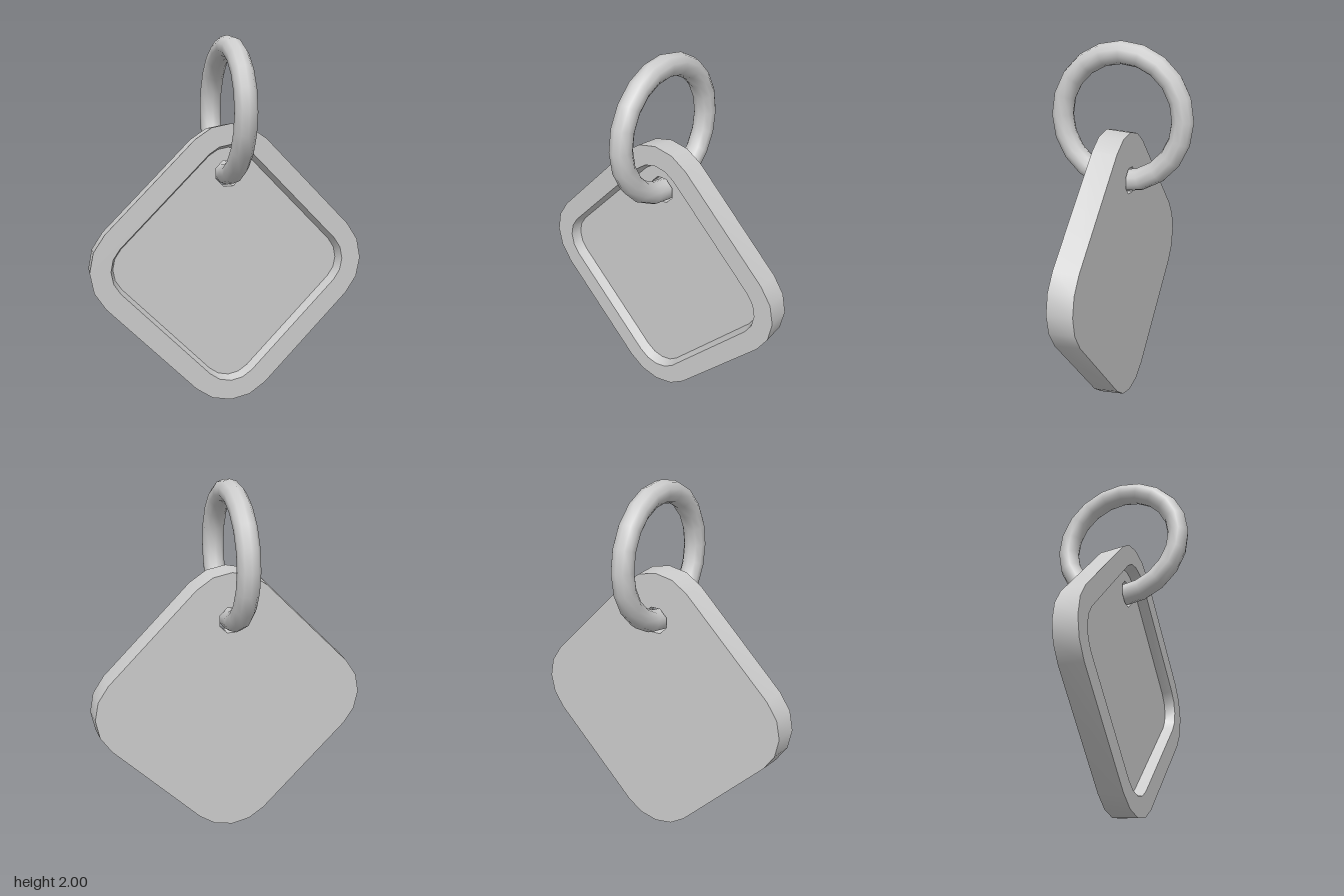
import * as THREE from 'three';
import { mergeGeometries, toCreasedNormals } from 'three/addons/utils/BufferGeometryUtils.js';

const CENTRE_Y = 0.768, CORNER = 0.485;
const BACK = -0.053, FLOOR = 0.027, FRONT = 0.083;

// Diamond outline with rounded corners of radius r, counter-clockwise
function diamond(r) {
  const points = [];
  for (let corner = 0; corner < 4; corner++) {
    const middle = corner * Math.PI / 2;
    for (let i = -2; i <= 2; i++) {
      const a = middle + i * Math.PI / 8;
      points.push(new THREE.Vector2(
        CORNER * Math.cos(middle) + r * Math.cos(a),
        CENTRE_Y + CORNER * Math.sin(middle) + r * Math.sin(a)));
    }
  }
  return points;
}

// Octagonal eyelet for the ring
function eyelet() {
  return Array.from({ length: 8 }, (_, i) => {
    const a = (i + 0.5) * Math.PI / 4;
    return new THREE.Vector2(0.075 * Math.cos(a), 1.265 + 0.075 * Math.sin(a));
  });
}

// Flat face with one hole
function face(outline, hole, z, backward) {
  const shape = new THREE.Shape(outline);
  shape.holes.push(new THREE.Path(hole));
  const g = new THREE.ShapeGeometry(shape).toNonIndexed();
  if (backward) {
    const p = g.attributes.position;
    for (let i = 0; i < p.count; i += 3) {
      const x = p.getX(i), y = p.getY(i);
      p.setXY(i, p.getX(i + 1), p.getY(i + 1));
      p.setXY(i + 1, x, y);
    }
  }
  g.translate(0, 0, z);
  g.deleteAttribute('uv');
  g.computeVertexNormals();
  return g;
}

// Wall joining a back outline to a front outline
function wall(back, zBack, front, zFront, inward) {
  const pos = [], n = back.length;
  for (let i = 0; i < n; i++) {
    const j = (i + 1) % n;
    const a = [back[i].x, back[i].y, zBack], b = [back[j].x, back[j].y, zBack];
    const c = [front[j].x, front[j].y, zFront], d = [front[i].x, front[i].y, zFront];
    const corners = inward ? [a, c, b, a, d, c] : [a, b, c, a, c, d];
    pos.push(...corners.flat());
  }
  const g = new THREE.BufferGeometry();
  g.setAttribute('position', new THREE.Float32BufferAttribute(pos, 3));
  g.computeVertexNormals();
  return toCreasedNormals(g, 0.6);
}

export function createModel() {
  const grey = new THREE.MeshStandardMaterial({ color: 0xcccccc });
  grey.name = 'light grey';
  const group = new THREE.Group();
  group.name = 'tagWithRing';

  // Tag: slightly tapered plate, raised rim, shallow tray and eyelet
  const outerBack = diamond(0.272), outerFront = diamond(0.282);
  const trayFloor = diamond(0.153), trayTop = diamond(0.171);
  const hole = eyelet();
  const tag = new THREE.Mesh(mergeGeometries([
    face(outerBack, hole, BACK, true),
    wall(outerBack, BACK, outerFront, FRONT, false),
    face(outerFront, trayTop, FRONT, false),
    wall(trayFloor, FLOOR, trayTop, FRONT, true),
    face(trayFloor, hole, FLOOR, false),
    wall(hole, BACK, hole, FLOOR, true),
  ]), grey);
  tag.name = 'tag';
  group.add(tag);

  // Ring threaded through the eyelet
  const ring = new THREE.Mesh(new THREE.TorusGeometry(0.34, 0.06, 10, 20), grey);
  ring.name = 'ring';
  ring.rotation.y = Math.PI / 2;
  ring.position.y = 1.6;
  group.add(ring);

  return group;
}
